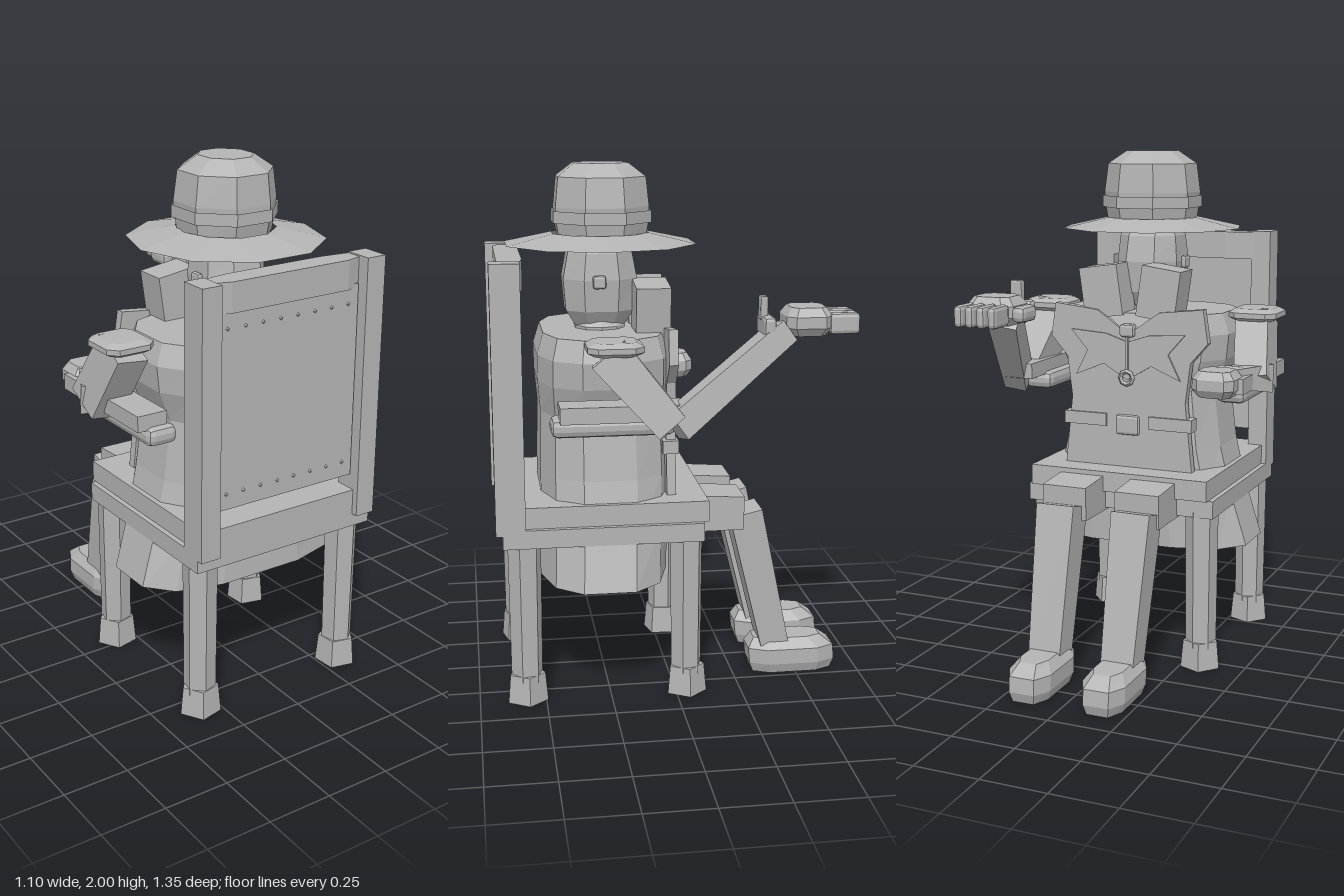
import * as THREE from 'three';
import { RoundedBoxGeometry } from 'three/addons/geometries/RoundedBoxGeometry.js';

export function createModel() {
  const root = new THREE.Group();
  root.name = 'seatedFigure';
  const grey = new THREE.MeshStandardMaterial({ color: 0xb4b4b4, flatShading: true, side: THREE.DoubleSide });
  grey.name = 'plainGrey';

  const chair = new THREE.Group(), figure = new THREE.Group();
  chair.name = 'chair';
  figure.name = 'figure';
  root.add(chair, figure);

  const add = (parent, name, geo, x = 0, y = 0, z = 0) => {
    const m = new THREE.Mesh(geo, grey);
    m.name = name;
    m.position.set(x, y, z);
    parent.add(m);
    return m;
  };
  // Box given by its extents
  const box = (p, name, x0, x1, y0, y1, z0, z1) =>
    add(p, name, new THREE.BoxGeometry(x1 - x0, y1 - y0, z1 - z0), (x0 + x1) / 2, (y0 + y1) / 2, (z0 + z1) / 2);
  // Chamfered box given by its extents
  const blob = (p, name, x0, x1, y0, y1, z0, z1, r) =>
    add(p, name, new RoundedBoxGeometry(x1 - x0, y1 - y0, z1 - z0, 1, r), (x0 + x1) / 2, (y0 + y1) / 2, (z0 + z1) / 2);
  // Plate or block extruded from a flat outline
  const plate = (p, name, points, depth, z = 0) =>
    add(p, name, new THREE.ExtrudeGeometry(new THREE.Shape(points.map(([x, y]) => new THREE.Vector2(x, y))),
      { depth, bevelEnabled: false }), 0, 0, z);
  // Tapered square limb from a to b; wa, wb are [width, depth]
  const limb = (p, name, a, b, wa, wb) => {
    const va = new THREE.Vector3(...a), vb = new THREE.Vector3(...b);
    const geo = new THREE.BoxGeometry(1, va.distanceTo(vb), 1);
    const pos = geo.attributes.position;
    for (let i = 0; i < pos.count; i++) {
      const w = pos.getY(i) > 0 ? wb : wa;
      pos.setX(i, pos.getX(i) * w[0]);
      pos.setZ(i, pos.getZ(i) * w[1]);
    }
    const m = add(p, name, geo);
    const dir = vb.clone().sub(va).normalize();
    const side = new THREE.Vector3(1, 0, 0).addScaledVector(dir, -dir.x).normalize();
    m.quaternion.setFromRotationMatrix(new THREE.Matrix4().makeBasis(side, dir, side.clone().cross(dir)));
    m.position.copy(va).add(vb).multiplyScalar(0.5);
    return m;
  };
  // Closed skin over horizontal rings [y, centreZ, radiusX, radiusZ]; a low power makes them squarer
  const loft = (p, name, rings, n, power = 1, capped = true, x = 0) => {
    const v = [], idx = [];
    const bend = (t) => Math.sign(t) * Math.pow(Math.abs(t), power);
    rings.forEach(([y, cz, rx, rz]) => {
      for (let i = 0; i < n; i++) {
        const a = ((i + 0.5) / n) * Math.PI * 2;
        v.push(bend(Math.sin(a)) * rx, y, cz + bend(Math.cos(a)) * rz);
      }
    });
    const top = (rings.length - 1) * n;
    for (let r = 0; r < top; r += n) {
      for (let i = 0; i < n; i++) {
        const a = r + i, b = r + (i + 1) % n;
        idx.push(a, b, b + n, a, b + n, a + n);
      }
    }
    for (let i = 1; capped && i < n - 1; i++) idx.push(0, i + 1, i, top, top + i, top + i + 1);
    const geo = new THREE.BufferGeometry();
    geo.setAttribute('position', new THREE.Float32BufferAttribute(v, 3));
    geo.setIndex(idx);
    geo.computeVertexNormals();
    return add(p, name, geo, x);
  };
  // Flattened pebble with cut corners, for pads and hands
  const pebble = (p, name, x, y0, y1, z, rx, rz) => {
    const h = y1 - y0;
    return loft(p, name, [[y0, z, rx * 0.75, rz * 0.75], [y0 + h * 0.3, z, rx, rz], [y0 + h * 0.7, z, rx, rz],
      [y1, z, rx * 0.75, rz * 0.75]], 8, 0.5, true, x);
  };

  // Chair seat and back
  box(chair, 'seatFrame', -0.39, 0.39, 0.62, 0.69, -0.1, 0.65);
  box(chair, 'seatTop', -0.37, 0.37, 0.69, 0.77, -0.12, 0.6);
  box(chair, 'lowerBackRail', -0.31, 0.31, 0.69, 0.77, 0.58, 0.65);
  box(chair, 'backPanel', -0.305, 0.305, 0.83, 1.57, 0.6, 0.635);
  const rail = plate(chair, 'topRail', [[-0.36, 0.57], [-0.2, 0.55], [0.2, 0.55], [0.36, 0.57], [0.36, 0.61],
    [0.25, 0.645], [-0.25, 0.645], [-0.36, 0.61]], 0.11);
  rail.rotation.x = Math.PI / 2;
  rail.position.y = 1.665;
  for (let i = 0; i < 8; i++) {
    for (const y of [0.89, 1.5]) {
      add(chair, 'stud', new THREE.OctahedronGeometry(0.009), -0.26 + i * 0.0743, y, 0.634);
    }
  }

  for (const s of [-1, 1]) {
    box(chair, 'backPost', s * 0.35 - 0.04, s * 0.35 + 0.04, 0.67, 1.67, 0.565, 0.675);
    // Armrests with brackets below
    box(chair, 'armrest', s * 0.44 - 0.06, s * 0.44 + 0.06, 1.11, 1.17, -0.09, 0.44);
    blob(chair, 'armrestBracket', s * 0.41 - 0.06, s * 0.41 + 0.06, 1.05, 1.12, 0.02, 0.47, 0.025);
    // Chair legs with block feet
    for (const [z, name] of [[-0.04, 'frontLeg'], [0.57, 'backLeg']]) {
      const leg = add(chair, name, new THREE.CylinderGeometry(0.064, 0.06, 0.56, 6), s * 0.325, 0.36, z);
      leg.rotation.y = s * 0.2;
      const foot = add(chair, name + 'Foot', new THREE.CylinderGeometry(0.07, 0.08, 0.11, 5), s * 0.325, 0.055, z);
      foot.rotation.y = s * 0.4;
    }

    // Figure legs and boots
    const x = s * 0.15;
    limb(figure, 'thigh', [x, 0.69, 0.15], [x, 0.675, -0.28], [0.19, 0.16], [0.18, 0.13]);
    limb(figure, 'shin', [x + s * 0.005, 0.67, -0.29], [x, 0.1, -0.42], [0.155, 0.13], [0.13, 0.11]);
    loft(figure, 'boot', [[0, -0.49, 0.075, 0.165], [0.04, -0.49, 0.09, 0.18], [0.1, -0.485, 0.09, 0.18],
      [0.14, -0.47, 0.06, 0.14]], 8, 0.6, true, x);

    // Shoulder pads, ears and collar flaps
    pebble(figure, 'shoulderPad', s * 0.445, 1.35, 1.4, 0.24, 0.1, 0.105);
    blob(figure, 'ear', s * 0.135 - 0.012, s * 0.135 + 0.012, 1.54, 1.59, 0.235, 0.285, 0.01);
    const flap = box(figure, 'collarFlap', s * 0.12 - 0.08, s * 0.12 + 0.08, 1.36, 1.56, 0, 0.13);
    flap.rotation.z = -s * 0.14;
  }

  // Coat body, with its skirt hanging below the seat
  loft(figure, 'coat', [
    [0.45, 0.26, 0.45, 0.25], [0.66, 0.25, 0.385, 0.25], [0.85, 0.245, 0.34, 0.255], [1.08, 0.245, 0.31, 0.25],
    [1.2, 0.245, 0.36, 0.26], [1.3, 0.245, 0.37, 0.26], [1.38, 0.245, 0.34, 0.235],
  ], 12, 0.7);

  // Flat coat front with pointed lapels
  plate(figure, 'coatFront', [
    [-0.27, 0.76], [0.27, 0.76], [0.24, 1.04], [0.26, 1.2], [0.33, 1.28], [0.31, 1.41], [0.13, 1.39], [0, 1.3],
    [-0.13, 1.39], [-0.31, 1.41], [-0.33, 1.28], [-0.26, 1.2], [-0.24, 1.04],
  ], 0.035, -0.01);
  for (const s of [-1, 1]) {
    plate(figure, 'lapel', [[0, 1.12], [0.1, 1.18], [0.22, 1.13], [0.17, 1.23], [0.24, 1.31], [0.09, 1.3], [0, 1.27]]
      .map(([x, y]) => [s * x, y]), 0.01, -0.018);
    box(figure, 'beltTab', s * 0.18 - 0.09, s * 0.18 + 0.09, 0.93, 0.98, -0.02, 0.04);
  }
  blob(figure, 'beltBuckle', -0.05, 0.05, 0.9, 0.98, -0.025, 0.05, 0.012);
  blob(figure, 'collarClasp', -0.03, 0.03, 1.29, 1.34, -0.03, 0.02, 0.01);
  add(figure, 'pendant', new THREE.TorusGeometry(0.026, 0.009, 4, 8), 0, 1.13, -0.025);
  box(figure, 'pendantCord', -0.006, 0.006, 1.15, 1.29, -0.026, -0.014);

  // Neck, head and hat
  loft(figure, 'neckBand', [[1.35, 0.25, 0.09, 0.09], [1.36, 0.25, 0.11, 0.1], [1.39, 0.25, 0.11, 0.1], [1.41, 0.25, 0.09, 0.09]], 10);
  loft(figure, 'head', [[1.39, 0.25, 0.08, 0.1], [1.45, 0.25, 0.12, 0.14], [1.57, 0.25, 0.135, 0.15], [1.67, 0.25, 0.125, 0.13], [1.74, 0.25, 0.09, 0.09]], 8, 0.85);
  loft(figure, 'hatBrim', [[1.7, 0.245, 0.36, 0.375], [1.74, 0.245, 0.18, 0.19]], 10, 1, false);
  loft(figure, 'hatCrown', [[1.72, 0.24, 0.175, 0.175], [1.79, 0.24, 0.185, 0.19], [1.84, 0.24, 0.19, 0.19], [1.95, 0.24, 0.175, 0.178], [2, 0.24, 0.1, 0.11]], 8);
  loft(figure, 'hatBand', [[1.78, 0.24, 0.196, 0.2], [1.825, 0.24, 0.196, 0.2]], 8, 1, false);

  // Raised left arm, with an open hand
  limb(figure, 'leftUpperArm', [0.43, 1.35, 0.26], [0.485, 1.09, 0.04], [0.13, 0.15], [0.14, 0.12]);
  limb(figure, 'leftForearm', [0.5, 1.09, 0.03], [0.33, 1.4, -0.4], [0.09, 0.11], [0.11, 0.09]);
  blob(figure, 'leftCuff', 0.24, 0.4, 1.38, 1.46, -0.36, -0.315, 0.015);
  blob(figure, 'cuffButton', 0.29, 0.34, 1.44, 1.53, -0.34, -0.31, 0.008);
  pebble(figure, 'leftPalm', 0.313, 1.385, 1.49, -0.487, 0.098, 0.09);
  blob(figure, 'leftThumb', 0.17, 0.225, 1.4, 1.46, -0.555, -0.445, 0.02);
  for (let i = 0; i < 4; i++) {
    const x = 0.24 + i * 0.045;
    blob(figure, 'leftFinger', x - 0.017, x + 0.017, 1.39, 1.47, -0.675, -0.56, 0.015);
  }

  // Resting right arm, with a closed hand
  limb(figure, 'rightUpperArm', [-0.44, 1.36, 0.25], [-0.48, 1.12, 0.12], [0.13, 0.15], [0.13, 0.16]);
  limb(figure, 'rightForearm', [-0.49, 1.14, 0.15], [-0.41, 1.16, -0.05], [0.13, 0.11], [0.09, 0.07]);
  blob(figure, 'rightCuff', -0.47, -0.36, 1.11, 1.2, -0.02, 0.03, 0.015);
  pebble(figure, 'rightHand', -0.398, 1.1, 1.2, -0.09, 0.086, 0.082);

  return root;
}
